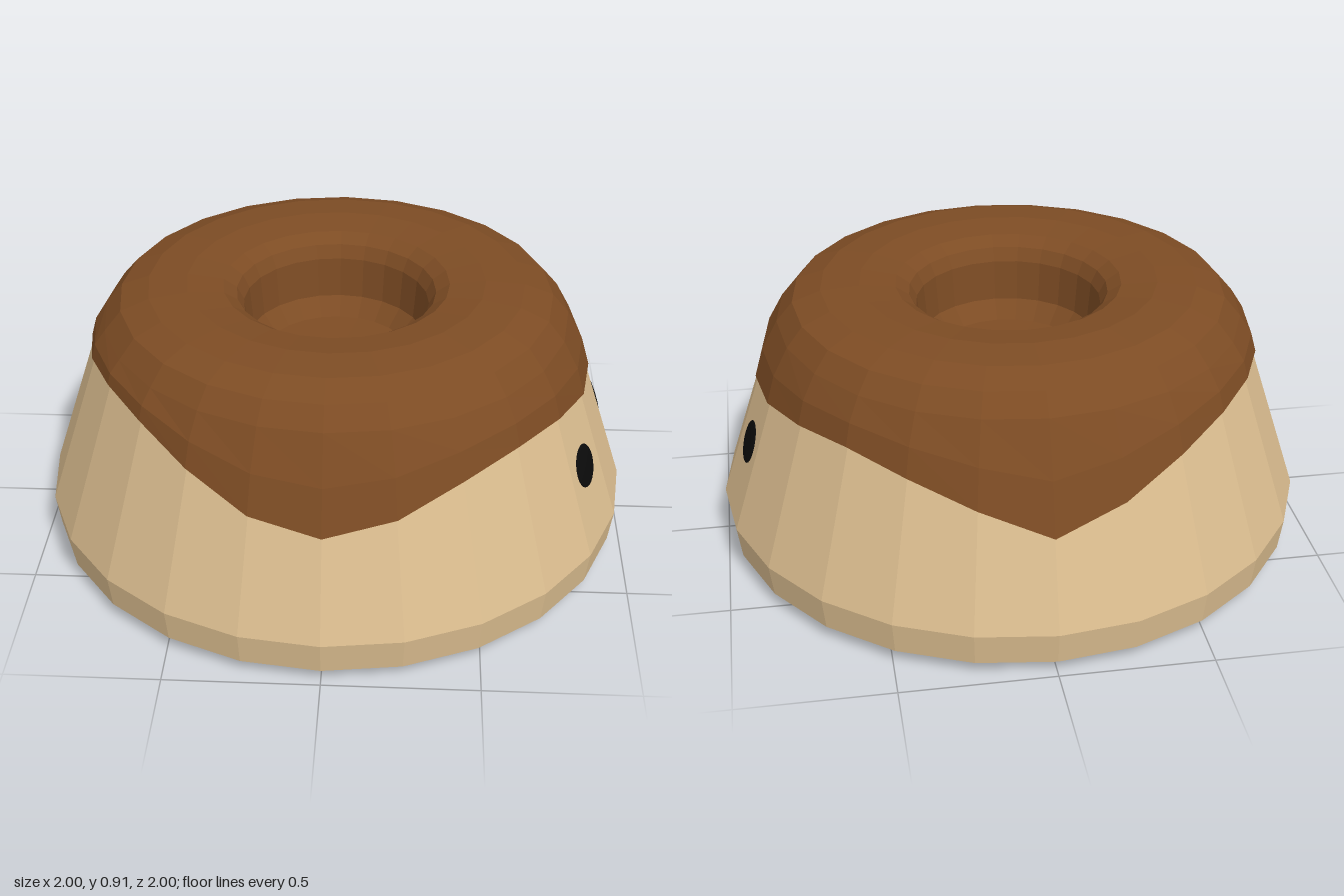
import * as THREE from 'three';

const SIDES = 24;
const bodyRadius = (y) => 1 - (y - 0.16) * 0.333;

function lathe(name, points, color) {
  const geometry = new THREE.LatheGeometry(points.map(([r, y]) => new THREE.Vector2(r, y)), SIDES);
  const mesh = new THREE.Mesh(geometry, new THREE.MeshStandardMaterial({ color, flatShading: true }));
  mesh.name = name;
  return mesh;
}

export function createModel() {
  const group = new THREE.Group();
  group.name = 'icedCake';

  // Sponge body: slightly domed underside, rounded foot and tapering wall
  group.add(lathe('cakeBody', [
    [0, 0.005], [0.55, 0.01], [0.84, 0.025], [0.985, 0.05], [1, 0.16],
    [bodyRadius(0.45), 0.45], [bodyRadius(0.72), 0.72], [0.7, 0.75],
  ], 0xdcbe90));

  // Icing: rim, shoulder, flat top, then down into the central well
  const profile = [
    [0.82, 0.6], [0.85, 0.6], [0.82, 0.7], [0.78, 0.8], [0.725, 0.865], [0.63, 0.9], [0.5, 0.91],
    [0.38, 0.895], [0.335, 0.865], [0.312, 0.82], [0.3, 0.68], [0.25, 0.62], [0, 0.61],
  ];
  const icing = lathe('icing', profile, 0x7d4c24);

  // Height of the dripping rim, every 15 degrees from the front towards +x
  const rim = [
    0.495, 0.54, 0.615, 0.65, 0.645, 0.615, 0.6, 0.615, 0.64, 0.65, 0.61, 0.54,
    0.455, 0.53, 0.615, 0.665, 0.68, 0.67, 0.665, 0.7, 0.72, 0.7, 0.63, 0.54,
  ];
  const pos = icing.geometry.attributes.position;
  for (let i = 0; i <= SIDES; i++) {
    const phi = (i / SIDES) * Math.PI * 2;
    const y = rim[i % SIDES];
    const r = bodyRadius(y) + 0.01;
    const rows = [[r - 0.04, y], [r, y], [(r + 0.78) / 2 + 0.012, (y + 0.8) / 2]];
    rows.forEach(([rr, yy], j) => {
      pos.setXYZ(i * profile.length + j, rr * Math.sin(phi), yy, rr * Math.cos(phi));
    });
  }
  icing.geometry.computeVertexNormals();
  group.add(icing);

  // Two flat round eyes lying on the sloping wall of the +x side
  const eyeMaterial = new THREE.MeshStandardMaterial({ color: 0x0b0b0b });
  const eyeRadius = bodyRadius(0.415) * Math.cos(Math.PI / SIDES);
  [['leftEye', -7.5], ['rightEye', 22.5]].forEach(([name, degrees]) => {
    const eye = new THREE.Mesh(new THREE.SphereGeometry(0.073, 20, 12), eyeMaterial);
    eye.name = name;
    eye.scale.z = 0.13;
    eye.position.set(0, 0.415, eyeRadius);
    eye.rotation.x = -Math.atan(0.333);
    const pivot = new THREE.Group();
    pivot.name = name + 'Pivot';
    pivot.rotation.y = Math.PI / 2 - THREE.MathUtils.degToRad(degrees);
    pivot.add(eye);
    group.add(pivot);
  });

  return group;
}
